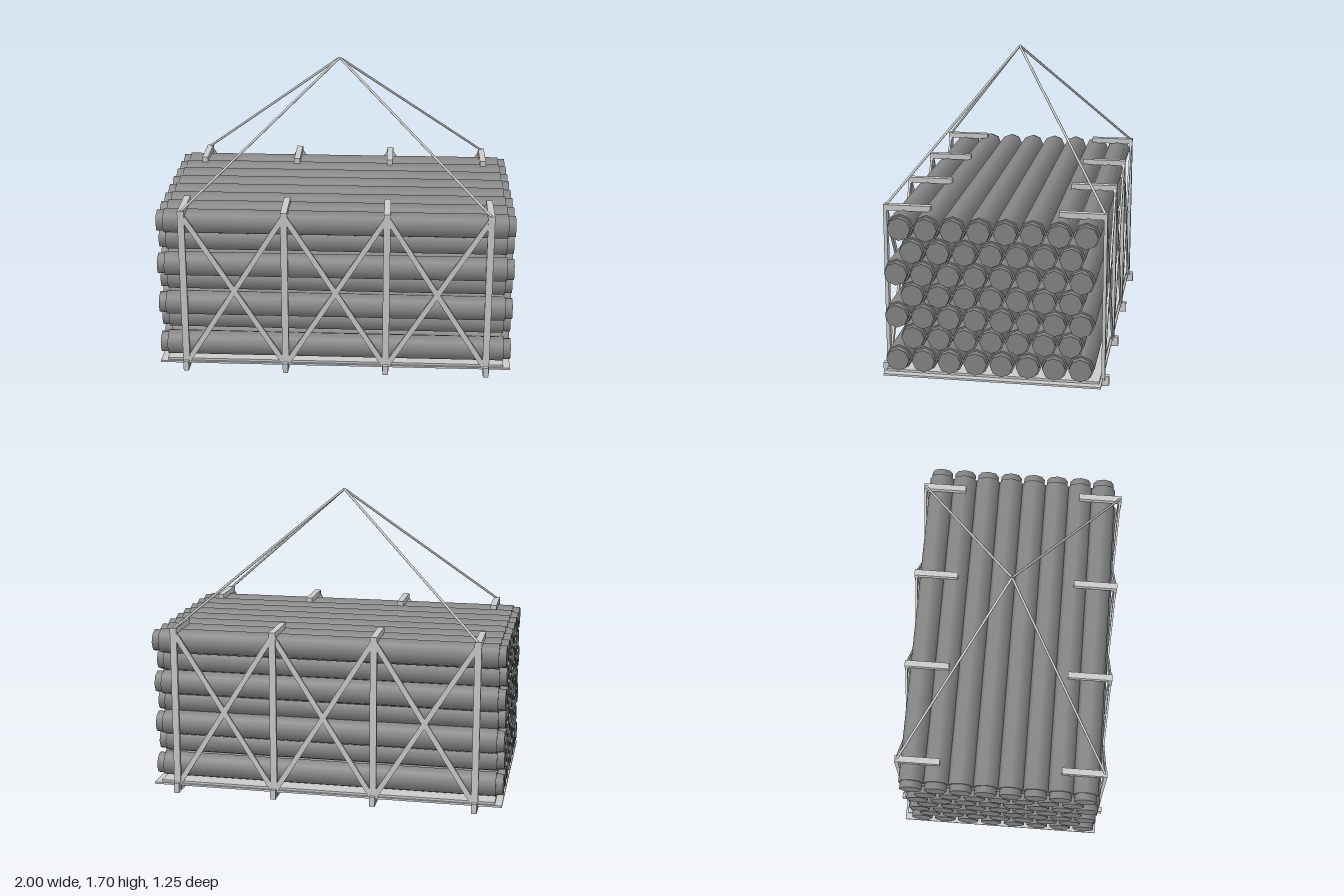
import * as THREE from 'three';

const steel = new THREE.MeshStandardMaterial({ color: 0xcccccc });
const pipeMat = new THREE.MeshStandardMaterial({ color: 0x858585 });

export function createModel() {
  const root = new THREE.Group();
  root.name = 'slungPipeBundle';

  const add = (name, geometry, material, x, y, z) => {
    const m = new THREE.Mesh(geometry, material);
    m.name = name;
    m.position.set(x, y, z);
    root.add(m);
    return m;
  };
  // Box given by its limits in y and z, centred on x
  const slab = (name, x, w, y0, y1, z0, z1) =>
    add(name, new THREE.BoxGeometry(w, y1 - y0, Math.abs(z1 - z0)), steel, x, (y0 + y1) / 2, (z0 + z1) / 2);

  // Eight-sided pipes with slimmer ends, lying along x in staggered rows
  const body = new THREE.CylinderGeometry(0.0725, 0.0725, 1.92, 8).rotateZ(Math.PI / 2);
  const end = new THREE.CylinderGeometry(0.063, 0.063, 0.04, 8).rotateZ(Math.PI / 2);
  const rows = [ // height, z of first pipe, count
    [0.13, 0.512, 8], [0.262, 0.425, 7], [0.38, 0.512, 8], [0.502, 0.425, 7],
    [0.62, 0.512, 8], [0.745, 0.425, 7], [0.87, 0.49, 8],
  ];
  for (const [y, z0, count] of rows) {
    for (let i = 0; i < count; i++) {
      const z = z0 - i * 0.142;
      add('pipe', body, pipeMat, 0, y, z);
      for (const s of [-1, 1]) add('pipeEnd', end, pipeMat, s * 0.98, y, z);
    }
  }

  // Floor in two layers
  slab('floorPlate', 0, 2, 0.034, 0.045, -0.592, 0.592);
  slab('floorLiner', 0, 1.92, 0.045, 0.058, -0.58, 0.58);

  // Side frames: posts with top and bottom arms, cross braces between them
  const posts = [-0.85, -0.28, 0.29, 0.86];
  for (const s of [-1, 1]) {
    for (const x of posts) {
      slab('post', x, 0.038, 0.015, 0.965, s * 0.583, s * 0.602);
      slab('topArm', x, 0.036, 0.935, 0.967, s * 0.345, s * 0.602);
      slab('bottomArm', x, 0.03, 0, 0.056, s * 0.25, s * 0.625);
    }
    for (let i = 0; i < posts.length - 1; i++) {
      const dx = posts[i + 1] - posts[i], dy = 0.91;
      for (const d of [-1, 1]) {
        const brace = add('crossBrace', new THREE.BoxGeometry(0.03, Math.hypot(dx, dy), 0.012),
          steel, (posts[i] + posts[i + 1]) / 2, 0.49, s * 0.592);
        brace.rotation.z = d * Math.atan2(dx, dy);
      }
    }
  }

  // Four sling ropes meeting above the load
  const apex = new THREE.Vector3(0, 1.695, 0);
  for (const x of [posts[0], posts[3]]) {
    for (const s of [-1, 1]) {
      const foot = new THREE.Vector3(x, 0.962, s * 0.59);
      const rope = new THREE.LineCurve3(foot, apex);
      add('slingRope', new THREE.TubeGeometry(rope, 1, 0.007, 8), steel, 0, 0, 0);
    }
  }
  return root;
}
